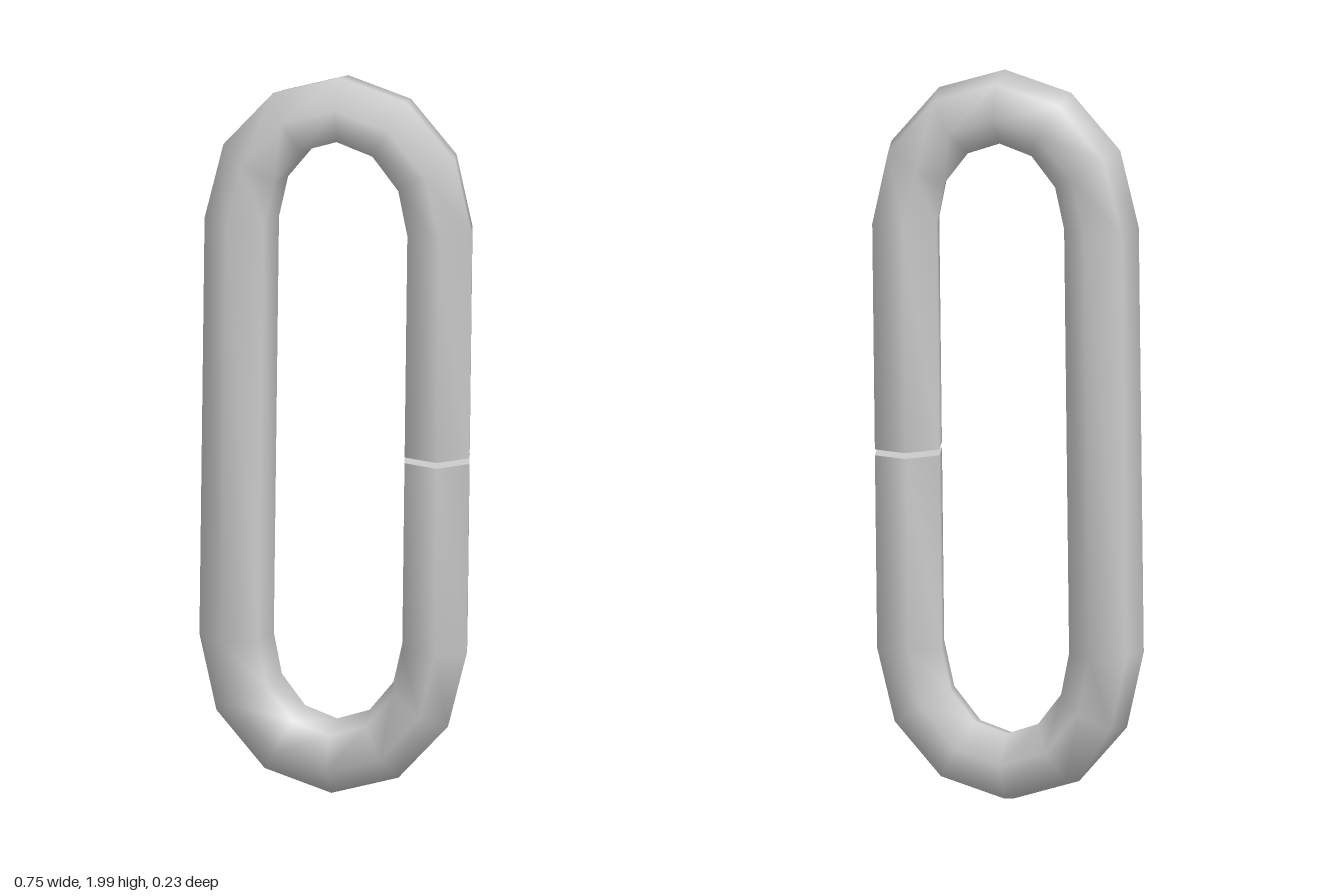
import * as THREE from 'three';

const SIDES = 6, R = 0.1, TWIST = THREE.MathUtils.degToRad(18);
const RX = 0.272, RY = 0.322, STRAIGHT = 0.58; // bend radii and half length of the straight sides

// Stations along the link: bend direction (cos, sin) and the height of the bend centre
function stations() {
  const list = [{ t: 0, y: -0.037 }];
  for (let k = 0; k <= 6; k++) list.push({ t: k * Math.PI / 6, y: STRAIGHT });
  for (let k = 6; k <= 12; k++) list.push({ t: k * Math.PI / 6, y: -STRAIGHT });
  list.push({ t: Math.PI * 2, y: -0.053 });
  return list;
}

// Six-sided ring of points at one station
function ring({ t, y }) {
  return Array.from({ length: SIDES }, (_, j) => {
    const a = TWIST + j * Math.PI * 2 / SIDES;
    const out = R * Math.cos(a);
    return new THREE.Vector3(Math.cos(t) * (RX + out), y + Math.sin(t) * (RY + out), 1.03 * R * Math.sin(a));
  });
}

function build(points, index) {
  const g = new THREE.BufferGeometry().setFromPoints(points);
  g.setIndex(index);
  g.computeVertexNormals();
  return g;
}

export function createModel() {
  const group = new THREE.Group();
  group.name = 'chainLink';
  const material = new THREE.MeshStandardMaterial({ color: 0xcccccc });
  const add = (name, geometry) => {
    const mesh = new THREE.Mesh(geometry, material);
    mesh.name = name;
    group.add(mesh);
  };

  // Bar swept round the link from one side of the split to the other
  const rings = stations().map(ring);
  const index = [];
  for (let i = 0; i < rings.length - 1; i++) {
    for (let j = 0; j < SIDES; j++) {
      const n = (j + 1) % SIDES;
      const a = i * SIDES + j, b = a + SIDES, d = i * SIDES + n, c = d + SIDES;
      index.push(a, b, c, a, c, d);
    }
  }
  add('linkBar', build(rings.flat(), index));

  // Flat ends at the split
  const fan = [];
  for (let j = 1; j < SIDES - 1; j++) fan.push(0, j, j + 1);
  add('upperSplitEnd', build(rings[0], fan));
  add('lowerSplitEnd', build([...rings[rings.length - 1]].reverse(), fan));

  // Slight lean of the whole link
  group.rotation.set(0.007, 0.033, -0.014);
  group.position.y = 1;
  const model = new THREE.Group();
  model.add(group);
  return model;
}
